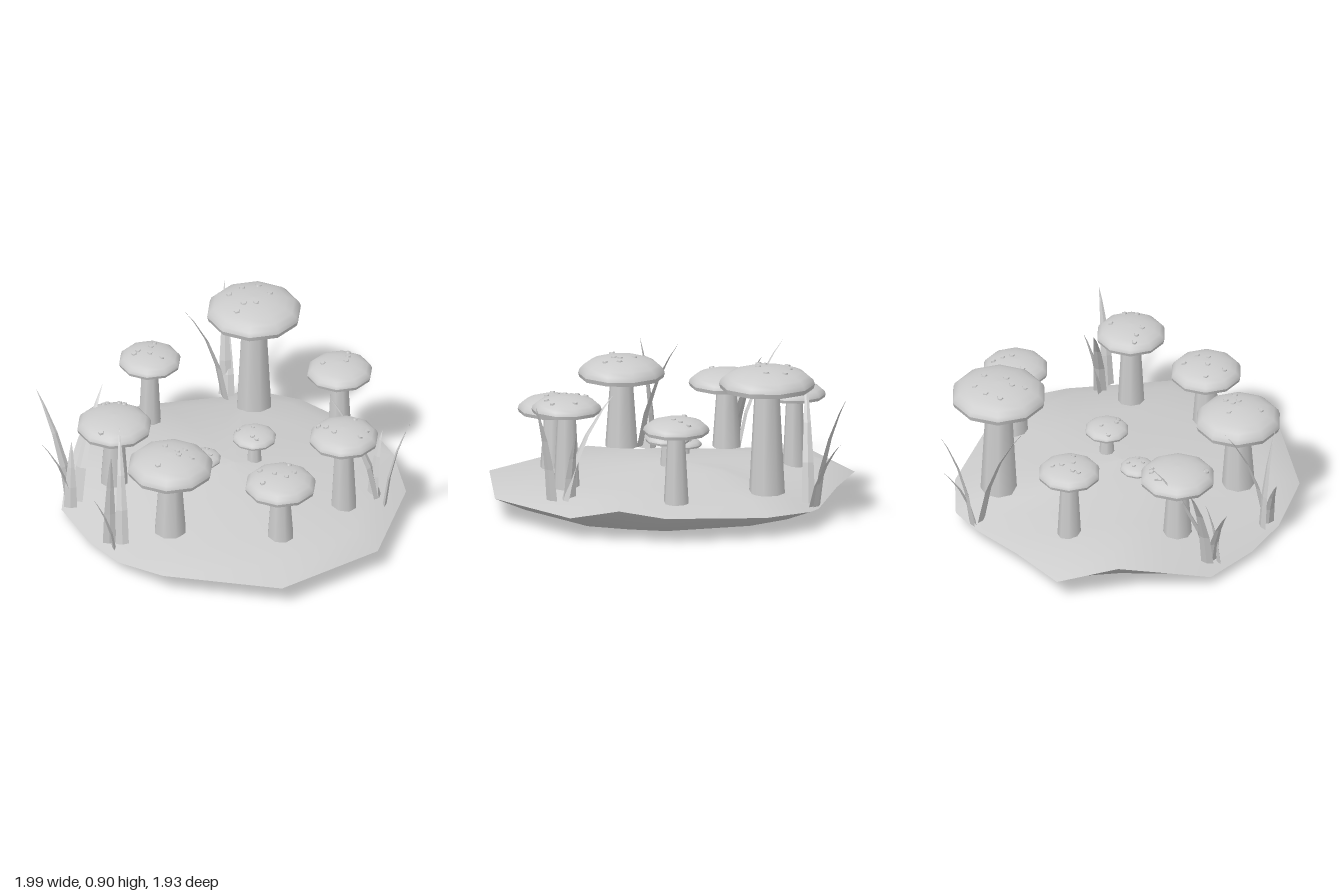
import * as THREE from 'three';

const gray = new THREE.MeshStandardMaterial({ color: 0xcccccc });
gray.name = 'pale gray';

function add(parent, name, geometry) {
  const mesh = new THREE.Mesh(geometry, gray);
  mesh.name = name;
  parent.add(mesh);
  return mesh;
}

// Skin over closed loops of points; loops run counterclockwise seen from above
function loft(rows) {
  const n = rows[0].length, pos = [], index = [];
  rows.forEach(r => r.forEach(p => pos.push(p.x, p.y, p.z)));
  for (let j = 0; j < rows.length - 1; j++) {
    for (let i = 0; i < n; i++) {
      const a = j * n + i, b = j * n + (i + 1) % n;
      index.push(a, b, b + n, a, b + n, a + n);
    }
  }
  const g = new THREE.BufferGeometry();
  g.setAttribute('position', new THREE.Float32BufferAttribute(pos, 3));
  g.setIndex(index);
  g.computeVertexNormals();
  return g;
}

// Ground rim: x, y, z, height of the shoulder just inside it
const RIM = [
  [0, 0.12, 0.965, 0.17], [0.64, 0.12, 0.82, 0.175], [0.97, 0.12, 0.28, 0.18],
  [0.88, 0.12, -0.31, 0.185], [0.71, 0.18, -0.53, 0.2], [0.53, 0.15, -0.71, 0.19],
  [0, 0.12, -0.9, 0.185], [-0.3, 0.11, -0.89, 0.17], [-0.42, 0.09, -0.79, 0.14],
  [-0.7, 0.12, -0.55, 0.18], [-0.97, 0.125, -0.33, 0.2], [-0.92, 0.18, 0, 0.21],
  [-0.87, 0.12, 0.28, 0.18], [-0.8, 0.05, 0.5, 0.13], [-0.55, 0.05, 0.72, 0.12],
  [-0.31, 0.06, 0.86, 0.13],
];

function makeGround(group) {
  const ring = (s, y) => RIM.map(r => new THREE.Vector3(r[0] * s, y(r), r[2] * s));
  const edge = ring(1, r => r[1]);
  add(group, 'groundTop', loft([
    edge,
    ring(0.84, r => r[3]),
    ring(0.6, r => 0.12 + r[3] * 0.5),
    ring(0.35, () => 0.248),
    ring(0, () => 0.268),
  ]));
  const under = [
    edge,
    ring(0.83, r => Math.min(0.045, r[1] * 0.6)),
    ring(0.5, () => 0.005),
    ring(0, () => 0),
  ];
  add(group, 'groundUnderside', loft(under.map(r => r.slice().reverse())));
}

// Mushrooms: x, z, cap radius, rim height, top height, spot offsets on the cap
const MUSHROOMS = [
  [-0.17, -0.66, 0.26, 0.77, 0.89,
    [[-0.03, -0.13], [-0.1, -0.07], [0.06, -0.08], [-0.14, 0.01], [0.03, 0.04], [-0.03, 0.07], [-0.04, 0.14]]],
  [0.37, -0.58, 0.18, 0.58, 0.665,
    [[0, -0.12], [0.02, -0.07], [0.03, -0.02], [-0.08, 0.04]]],
  [-0.615, -0.27, 0.17, 0.58, 0.66,
    [[-0.01, -0.09], [-0.01, -0.04], [-0.06, 0.02], [0.01, 0.02], [0.08, 0.02], [-0.07, 0.05]]],
  [0.085, -0.08, 0.12, 0.39, 0.445,
    [[-0.02, -0.03], [-0.09, 0.01], [0.01, 0.05], [0.04, 0.06]]],
  [0.665, 0.04, 0.19, 0.61, 0.7,
    [[0.02, -0.11], [-0.14, 0.02], [-0.09, 0.03], [-0.03, 0.06], [0.12, -0.04], [0.11, 0.03]]],
  [-0.14, 0.09, 0.095, 0.3, 0.345,
    [[-0.03, -0.02], [0, -0.05], [0.04, 0], [0, 0.03]]],
  [-0.57, 0.315, 0.205, 0.525, 0.62,
    [[-0.01, 0.155], [-0.1, -0.09], [-0.03, -0.14], [0.0, -0.14], [-0.09, -0.11]]],
  [0.47, 0.45, 0.195, 0.5, 0.595,
    [[0, -0.12], [-0.12, 0], [-0.03, 0.01], [0.04, 0.01], [0.06, -0.05], [-0.06, 0.1]]],
  [-0.1, 0.635, 0.235, 0.575, 0.695,
    [[-0.05, -0.05], [0.03, -0.03], [0.05, 0], [0.12, -0.02], [-0.02, 0.12], [0.06, -0.07]]],
];

function makeMushroom([x, z, r, rimY, topY, spots]) {
  const g = new THREE.Group();
  g.name = 'mushroom';
  g.position.set(x, 0, z);

  // Tapered stem, sunk into the ground
  const baseY = 0.19, h = rimY + 0.005 - baseY;
  add(g, 'stem', new THREE.CylinderGeometry(r * 0.26, r * 0.38, h, 8))
    .position.y = baseY + h / 2;

  // Ten-sided cap: thin rim band with a flat underside, then a squashed dome
  const band = r * 0.1, start = Math.PI / 2;
  add(g, 'capRim', new THREE.CylinderGeometry(r, r * 0.97, band, 10, 1, false, start))
    .position.y = rimY + band / 2;
  const domeY = rimY + band, domeH = topY - domeY;
  const profile = [];
  for (let i = 0; i <= 6; i++) {
    const a = i / 6 * Math.PI / 2;
    profile.push(new THREE.Vector2(i === 6 ? 0 : r * Math.cos(a), domeH * Math.sin(a)));
  }
  add(g, 'capDome', new THREE.LatheGeometry(profile, 10, start)).position.y = domeY;

  // Five-sided spots lying on the dome
  spots.forEach(([sx, sz]) => {
    const k = Math.sqrt(1 - (sx * sx + sz * sz) / (r * r));
    const s = r * 0.04 + 0.01;
    const spot = add(g, 'capSpot', new THREE.CylinderGeometry(s * 0.75, s, 0.016, 5));
    spot.position.set(sx, domeY + domeH * k * 0.98, sz);
    const normal = new THREE.Vector3(sx / (r * r), k / domeH, sz / (r * r)).normalize();
    spot.quaternion.setFromUnitVectors(new THREE.Vector3(0, 1, 0), normal);
  });
  return g;
}

// Grass clumps: base and tip points of each blade
const CLUMPS = [
  [[[-0.4, 0.11, 0.77], [-0.36, 0.72, 0.84]], [[-0.36, 0.11, 0.8], [-0.46, 0.42, 0.85]],
    [[-0.32, 0.13, 0.78], [-0.43, 0.73, 0.57]]],
  [[[-0.76, 0.12, 0.48], [-1.0, 0.72, 0.39]], [[-0.74, 0.12, 0.5], [-0.88, 0.51, 0.59]],
    [[-0.73, 0.11, 0.54], [-0.755, 0.49, 0.47]], [[-0.72, 0.12, 0.48], [-0.7, 0.7, 0.17]]],
  [[[0.85, 0.17, -0.09], [0.99, 0.72, -0.14]], [[0.79, 0.17, -0.13], [0.49, 0.73, -0.16]],
    [[0.76, 0.17, -0.13], [0.78, 0.55, -0.22]]],
  [[[-0.4, 0.11, -0.8], [-0.48, 0.73, -0.97]], [[-0.38, 0.11, -0.79], [-0.45, 0.48, -0.96]],
    [[-0.38, 0.12, -0.75], [-0.52, 0.79, -0.52]]],
];

// Flat blade that rises upright, then leans out to a point
function bladeGeometry(base, tip) {
  const a = new THREE.Vector3(...base), c = new THREE.Vector3(...tip);
  const mid = a.clone().lerp(c, 0.18);
  mid.y = a.y + (c.y - a.y) * 0.55;
  const curve = new THREE.QuadraticBezierCurve3(a, mid, c);
  const lean = new THREE.Vector3(c.x - a.x, 0, c.z - a.z).normalize();
  const side = new THREE.Vector3(lean.z, 0, -lean.x);
  const rows = [[0, 1], [0.3, 0.85], [0.6, 0.55], [0.85, 0.25], [1, 0]].map(([t, w]) => {
    const p = curve.getPoint(t);
    const at = (d, k) => p.clone().addScaledVector(d, k * w);
    return [at(lean, 0.01), at(side, 0.036), at(lean, -0.01), at(side, -0.036)];
  });
  const g = loft(rows).toNonIndexed();
  g.computeVertexNormals();
  return g;
}

export function createModel() {
  const model = new THREE.Group();
  model.name = 'mushroomPatch';
  const ground = new THREE.Group();
  ground.name = 'ground';
  makeGround(ground);
  model.add(ground);
  MUSHROOMS.forEach(m => model.add(makeMushroom(m)));
  CLUMPS.forEach(blades => {
    const clump = new THREE.Group();
    clump.name = 'grassClump';
    blades.forEach(([base, tip]) => add(clump, 'grassBlade', bladeGeometry(base, tip)));
    model.add(clump);
  });
  return model;
}
